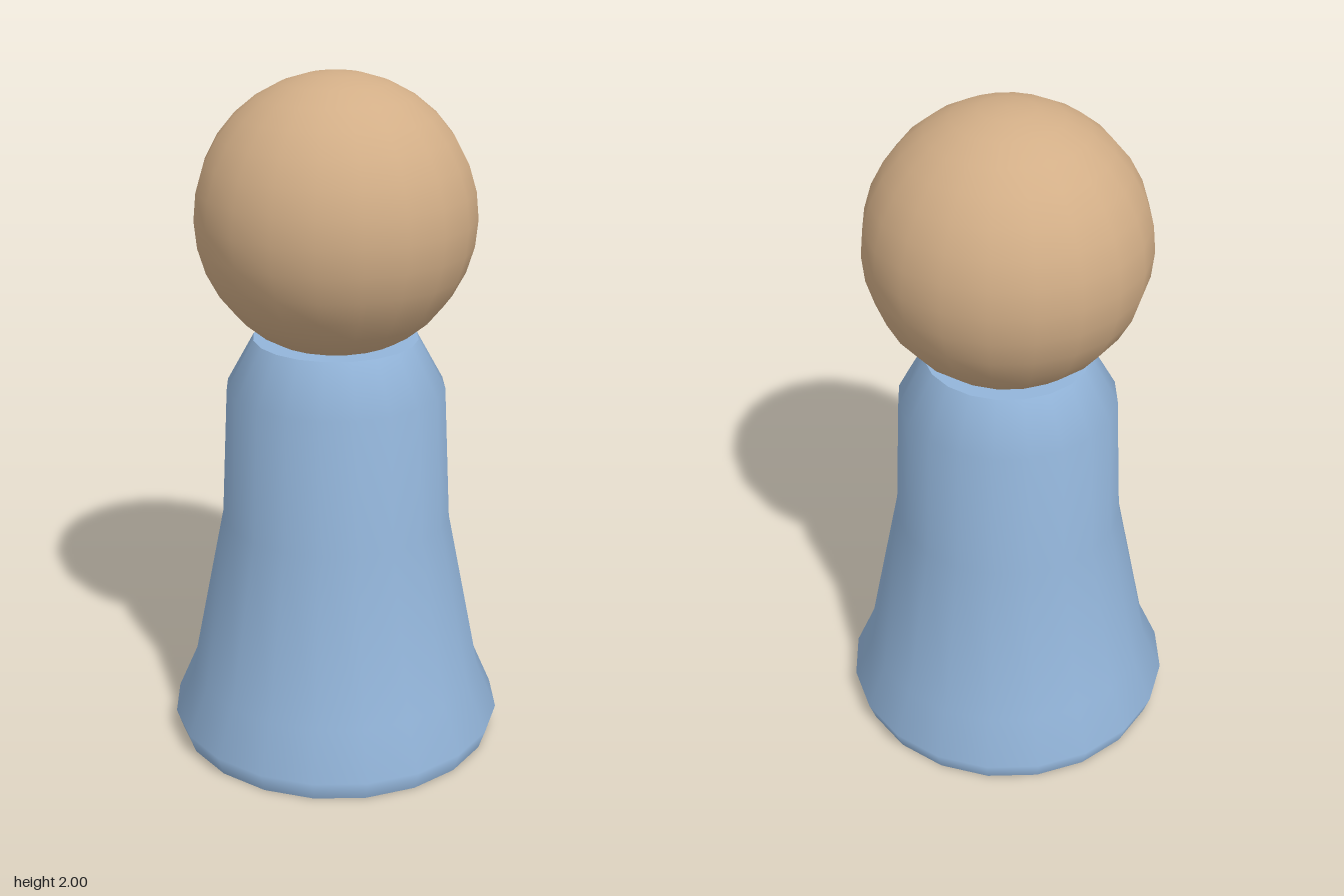
import * as THREE from 'three';

const SIDES = 20;

export function createModel() {
  const group = new THREE.Group();
  const cloth = new THREE.MeshStandardMaterial({ name: 'soft blue', color: 0x93b5da });
  const skin = new THREE.MeshStandardMaterial({ name: 'tan', color: 0xd2ae87 });

  const add = (name, geometry, material, y = 0) => {
    const mesh = new THREE.Mesh(geometry, material);
    mesh.name = name;
    mesh.position.y = y;
    group.add(mesh);
    return mesh;
  };

  // Flared body, turned from base to shoulders
  const profile = [
    [0.48, 0], [0.5, 0.06], [0.44, 0.2], [0.34, 0.7], [0.32, 1.1], [0.24, 1.245],
  ].map(([r, y]) => new THREE.Vector2(r, y));
  add('body', new THREE.LatheGeometry(profile, SIDES), cloth);

  // Flat discs closing the body
  add('baseDisc', new THREE.CircleGeometry(0.48, SIDES).rotateX(Math.PI / 2), cloth);
  add('shoulderDisc', new THREE.CircleGeometry(0.24, SIDES).rotateX(-Math.PI / 2), cloth, 1.245);

  // Round head resting in the shoulders
  add('head', new THREE.SphereGeometry(0.4, SIDES, 16), skin, 1.6);

  return group;
}
